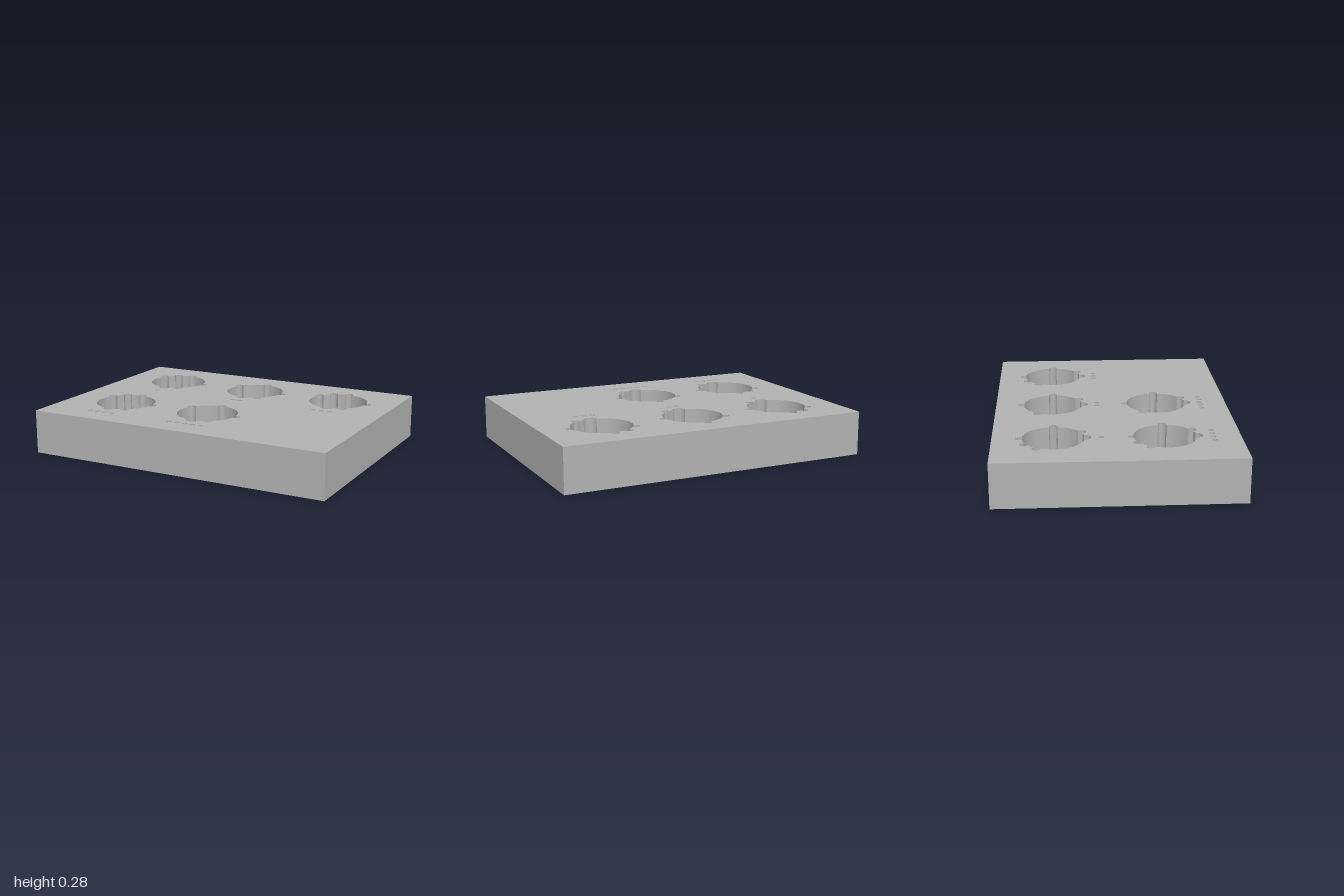
import * as THREE from 'three';

const W = 2, D = 1.5, H = 0.28;
const LEDGE = 0.165, FLOOR = 0.06, DOT_FLOOR = 0.255;
const STEPS = 360;

// Notches around a pocket: angle in degrees, distance, radius
const DEEP = [[0, 0.2, 0.027], [-60, 0.2, 0.027], [-90, 0.184, 0.043]];
const EXTRA = [120, 0.2, 0.027];
const SHALLOW = [[90, 0.2, 0.027], [150, 0.2, 0.027]];

// Pockets: x, z, whether the extra deep notch is present, z of the marker dots
const POCKETS = [
  [-0.613, -0.38, true, -0.094],
  [0, -0.38, false, -0.094],
  [0.613, -0.38, true, -0.094],
  [-0.613, 0.293, true, 0.58],
  [0, 0.293, false, 0.58],
];

// Outline of a circle joined with round notches, in plan (y of the plan is -z)
function outline(cx, cz, radius, notches, steps = STEPS) {
  const points = [];
  for (let i = 0; i < steps; i++) {
    const a = (i / steps) * Math.PI * 2;
    let r = radius;
    for (const [deg, dist, nr] of notches) {
      const d = a - THREE.MathUtils.degToRad(deg);
      const off = dist * Math.sin(d);
      if (Math.cos(d) > 0 && Math.abs(off) < nr) {
        r = Math.max(r, dist * Math.cos(d) + Math.sqrt(nr * nr - off * off));
      }
    }
    points.push(new THREE.Vector2(cx + r * Math.cos(a), -cz + r * Math.sin(a)));
  }
  return points;
}

// Flat-faced strips joining successive loops, facing into the hole
function holeWalls(rings) {
  const pos = [];
  const put = ([loop, y], i) => {
    const p = loop[i % loop.length];
    pos.push(p.x, y, -p.y);
  };
  for (let k = 0; k + 1 < rings.length; k++) {
    const a = rings[k], b = rings[k + 1];
    for (let i = 0; i < a[0].length; i++) {
      put(a, i); put(a, i + 1); put(b, i + 1);
      put(a, i); put(b, i + 1); put(b, i);
    }
  }
  const g = new THREE.BufferGeometry();
  g.setAttribute('position', new THREE.Float32BufferAttribute(pos, 3));
  g.computeVertexNormals();
  return g;
}

// Horizontal face looking up
function flatFace(shape, y) {
  return new THREE.ShapeGeometry(shape).rotateX(-Math.PI / 2).translate(0, y, 0);
}

export function createModel() {
  const model = new THREE.Group();
  model.name = 'pocketedBlock';
  const grey = new THREE.MeshStandardMaterial({ color: 0xb2b2b2 });
  grey.name = 'grey';
  const add = (name, geometry, parent = model) => {
    const mesh = new THREE.Mesh(geometry, grey);
    mesh.name = name;
    parent.add(mesh);
  };

  // Sides and underside: a box without its top face
  const box = new THREE.BoxGeometry(W, H, D).translate(0, H / 2, 0);
  const index = Array.from(box.index.array);
  index.splice(12, 6);
  box.setIndex(index);
  box.clearGroups();
  add('blockSides', box);

  const top = new THREE.Shape([
    new THREE.Vector2(-W / 2, -D / 2), new THREE.Vector2(W / 2, -D / 2),
    new THREE.Vector2(W / 2, D / 2), new THREE.Vector2(-W / 2, D / 2),
  ]);
  const cutTop = (loop) => top.holes.push(new THREE.Path(loop));

  POCKETS.forEach(([x, z, extra, dotZ], n) => {
    const group = new THREE.Group();
    group.name = 'pocket' + (n + 1);
    model.add(group);

    // Stepped pocket, each slightly wider than the one before
    const radius = 0.189 + n * 0.001;
    const deep = extra ? [...DEEP, EXTRA] : DEEP;
    const core = outline(x, z, radius, deep);
    const full = outline(x, z, radius, [...deep, ...SHALLOW]);
    cutTop(full);
    add('pocketWalls', holeWalls([[full, H], [full, LEDGE], [core, LEDGE], [core, FLOOR]]), group);
    add('pocketFloor', flatFace(new THREE.Shape(core), FLOOR), group);

    // Counting dots in front of the pocket
    for (let i = 0; i <= n; i++) {
      const dot = outline(x + (i - n / 2) * 0.055, dotZ, 0.017, [], 32);
      cutTop(dot);
      add('dotWall', holeWalls([[dot, H], [dot, DOT_FLOOR]]), group);
      add('dotFloor', flatFace(new THREE.Shape(dot), DOT_FLOOR), group);
    }
  });

  add('blockTop', flatFace(top, H));
  return model;
}
